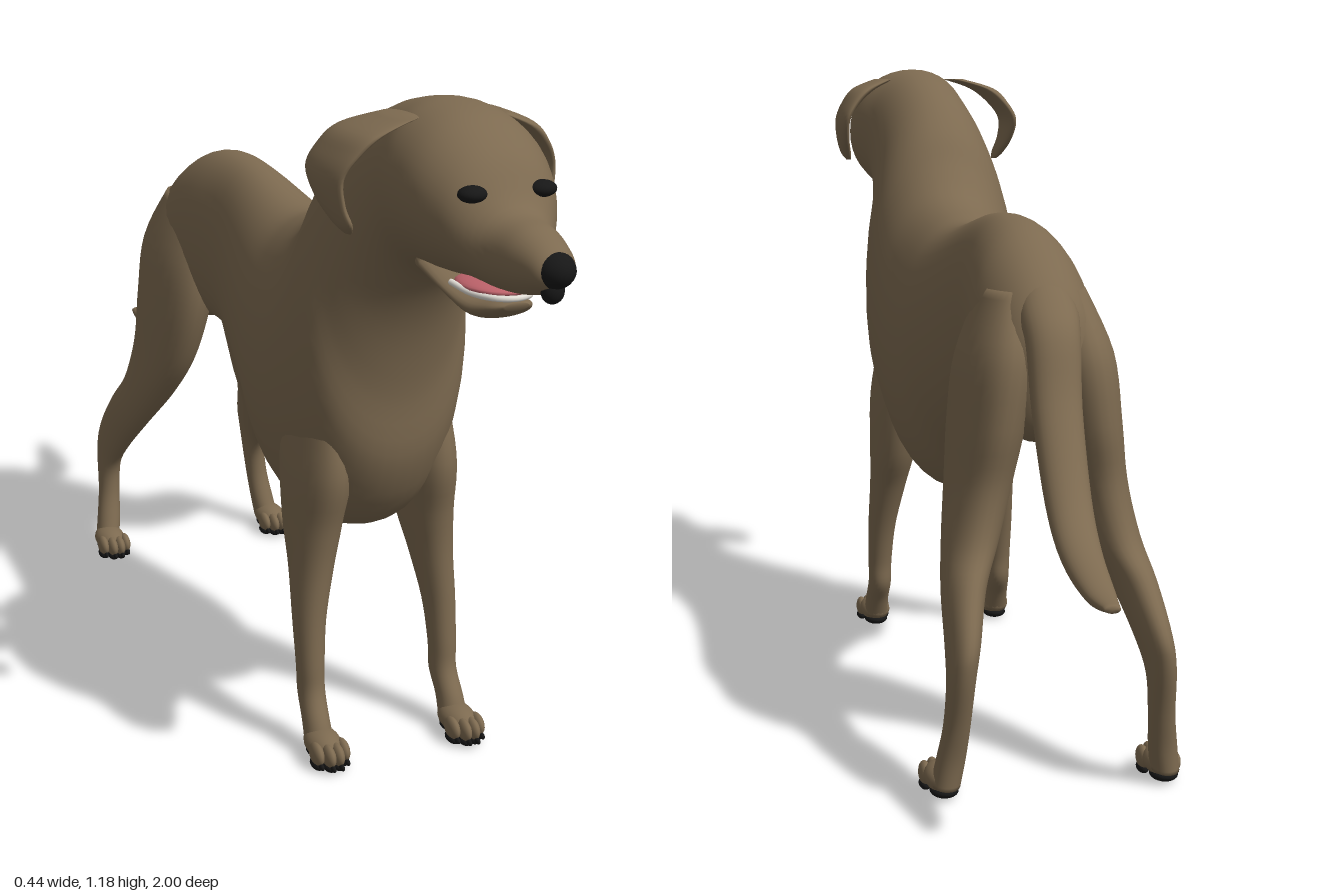
import * as THREE from 'three';

const mat = (name, hex) => {
  const m = new THREE.MeshStandardMaterial({ color: hex });
  m.name = name;
  return m;
};

// Smooth Catmull-Rom resampling of section rows
function resample(rows, steps) {
  const out = [], n = rows.length;
  for (let i = 0; i < n - 1; i++) {
    const [a, b, c, d] = [i - 1, i, i + 1, i + 2].map(k => rows[Math.min(n - 1, Math.max(0, k))]);
    for (let s = 0; s < steps; s++) {
      const t = s / steps;
      out.push(b.map((v, k) => v + 0.5 * t * (c[k] - a[k]
        + t * (2 * a[k] - 5 * v + 4 * c[k] - d[k] + t * (3 * (v - c[k]) + d[k] - a[k])))));
    }
  }
  out.push(rows[n - 1]);
  return out;
}

// Loft through oval sections: [z1, y1, z2, y2, halfWidth, centreX], point 1 and 2 being the ends of the oval
function loft(sections, side = 1, power = 2.1, sides = 28) {
  const rings = resample(sections, 5), pos = [], idx = [];
  const bulge = v => Math.sign(v) * Math.abs(v) ** (2 / power);
  for (const [z1, y1, z2, y2, w, cx] of rings) {
    for (let j = 0; j < sides; j++) {
      const a = j / sides * Math.PI * 2, u = bulge(Math.cos(a)), v = bulge(Math.sin(a));
      pos.push(side * cx + u * w, (y1 + y2) / 2 + v * (y1 - y2) / 2, (z1 + z2) / 2 + v * (z1 - z2) / 2);
    }
  }
  const last = rings.length - 1, cap = pos.length / 3;
  for (const r of [rings[0], rings[last]]) pos.push(side * r[5], (r[1] + r[3]) / 2, (r[0] + r[2]) / 2);
  for (let j = 0; j < sides; j++) {
    const k = (j + 1) % sides;
    for (let i = 0; i < last; i++) {
      const p = i * sides, q = p + sides;
      idx.push(p + j, p + k, q + k, p + j, q + k, q + j);
    }
    idx.push(cap, k, j, cap + 1, last * sides + j, last * sides + k);
  }
  const g = new THREE.BufferGeometry();
  g.setAttribute('position', new THREE.Float32BufferAttribute(pos, 3));
  g.setIndex(idx);
  g.computeVertexNormals();
  return g;
}

export function createModel() {
  const dog = new THREE.Group();
  dog.name = 'dog';
  const coat = mat('brown coat', 0x7d6a50);
  const black = mat('black', 0x171717);
  const pink = mat('pink mouth', 0xc0646c);
  const white = mat('white teeth', 0xe4e0d8);

  const add = (name, geo, material, parent = dog) => {
    const m = new THREE.Mesh(geo, material);
    m.name = name;
    parent.add(m);
    return m;
  };
  const blob = (name, material, p, r, parent = dog) => {
    const m = add(name, new THREE.SphereGeometry(1, 20, 14), material, parent);
    m.position.set(...p);
    m.scale.set(...r);
    return m;
  };

  // Trunk, neck, skull and upper muzzle from rump to nose
  const hx = 0.015;
  add('body', loft([
    [-0.565, 0.74, -0.555, 0.66, 0.03, 0],
    [-0.53, 0.82, -0.52, 0.58, 0.08, 0],
    [-0.42, 0.89, -0.42, 0.56, 0.105, 0],
    [-0.31, 0.925, -0.31, 0.58, 0.10, 0],
    [-0.155, 0.925, -0.17, 0.56, 0.092, 0],
    [0.06, 0.89, 0.02, 0.455, 0.125, 0],
    [0.16, 0.90, 0.12, 0.37, 0.14, 0],
    [0.25, 0.93, 0.26, 0.35, 0.15, 0],
    [0.31, 0.985, 0.42, 0.405, 0.157, 0],
    [0.36, 1.05, 0.495, 0.52, 0.15, 0],
    [0.43, 1.11, 0.51, 0.66, 0.13, 0],
    [0.51, 1.15, 0.545, 0.79, 0.115, 0.005],
    [0.585, 1.17, 0.60, 0.88, 0.112, 0.01],
    [0.65, 1.175, 0.67, 0.91, 0.125, hx],
    [0.73, 1.16, 0.745, 0.92, 0.12, hx],
    [0.80, 1.115, 0.80, 0.925, 0.098, hx],
    [0.855, 1.047, 0.86, 0.922, 0.064, hx],
    [0.92, 1.03, 0.92, 0.93, 0.05, hx],
    [0.97, 1.008, 0.965, 0.945, 0.036, hx],
    [0.985, 0.985, 0.98, 0.955, 0.02, hx],
  ], 1, 2.1, 40), coat);
  blob('sheath', coat, [0, 0.565, -0.155], [0.022, 0.03, 0.06]).rotation.x = -0.25;

  // Tail from tip to root
  add('tail', loft([
    [-1, 0.424, -1, 0.412, 0.012, 0.022],
    [-0.93, 0.437, -0.93, 0.406, 0.024, 0.022],
    [-0.82, 0.477, -0.81, 0.43, 0.033, 0.02],
    [-0.74, 0.54, -0.70, 0.495, 0.037, 0.016],
    [-0.66, 0.66, -0.605, 0.625, 0.041, 0.012],
    [-0.61, 0.77, -0.55, 0.725, 0.045, 0.006],
    [-0.53, 0.825, -0.51, 0.75, 0.048, 0],
    [-0.44, 0.865, -0.44, 0.79, 0.03, 0],
  ]), coat);

  // Lower jaw, tongue and teeth
  const head = new THREE.Group();
  head.name = 'face';
  dog.add(head);
  add('lowerJaw', loft([
    [0.68, 0.955, 0.68, 0.91, 0.08, hx],
    [0.75, 0.92, 0.75, 0.885, 0.066, hx],
    [0.80, 0.904, 0.795, 0.866, 0.052, hx],
    [0.845, 0.906, 0.84, 0.878, 0.038, hx],
    [0.866, 0.904, 0.862, 0.892, 0.02, hx],
  ]), coat, head);
  blob('tongue', pink, [hx, 0.916, 0.785], [0.054, 0.012, 0.072], head);
  const toothRow = new THREE.CatmullRomCurve3([
    [-0.058, 0.917, 0.76], [-0.047, 0.91, 0.81], [-0.028, 0.91, 0.85], [0, 0.91, 0.862],
    [0.028, 0.91, 0.85], [0.047, 0.91, 0.81], [0.058, 0.917, 0.76],
  ].map(([x, y, z]) => new THREE.Vector3(x + hx, y, z)));
  add('lowerTeeth', new THREE.TubeGeometry(toothRow, 36, 0.005, 8), white, head);

  // Nose with the dark groove below it
  blob('nose', black, [hx + 0.002, 0.978, 0.966], [0.031, 0.028, 0.034], head);
  blob('noseGroove', black, [hx, 0.948, 0.967], [0.018, 0.02, 0.016], head);

  for (const s of [-1, 1]) {
    const sideName = s > 0 ? 'left' : 'right';
    blob(sideName + 'Eye', black, [hx + s * 0.058, 1.064, 0.823], [0.023, 0.013, 0.02], head);

    // Hanging ear; the right one flares out further
    const f = s > 0 ? 1 : 1.14;
    add(sideName + 'Ear', loft([
      [0.69, 1.155, 0.59, 1.155, 0.02, 0.075],
      [0.705, 1.135, 0.56, 1.135, 0.022, 0.12 * f],
      [0.70, 1.105, 0.55, 1.105, 0.016, 0.15 * f],
      [0.69, 1.07, 0.55, 1.07, 0.012, 0.168 * f],
      [0.69, 1.03, 0.58, 1.03, 0.011, 0.166 * f],
      [0.692, 1.0, 0.625, 0.997, 0.01, 0.157 * f],
      [0.675, 0.983, 0.65, 0.983, 0.005, 0.15 * f],
    ], s), coat, head);

    // Front leg from shoulder to wrist
    add(sideName + 'FrontLeg', loft([
      [0.45, 0.64, 0.27, 0.64, 0.03, 0.10],
      [0.475, 0.51, 0.27, 0.52, 0.05, 0.10],
      [0.455, 0.41, 0.295, 0.40, 0.045, 0.107],
      [0.445, 0.33, 0.335, 0.32, 0.036, 0.115],
      [0.445, 0.24, 0.37, 0.23, 0.028, 0.125],
      [0.45, 0.16, 0.39, 0.15, 0.024, 0.128],
      [0.455, 0.11, 0.395, 0.10, 0.023, 0.128],
      [0.48, 0.065, 0.42, 0.06, 0.023, 0.13],
      [0.495, 0.03, 0.44, 0.02, 0.025, 0.13],
    ], s), coat);

    // Hind leg from haunch over the hock to the foot
    add(sideName + 'HindLeg', loft([
      [-0.32, 0.82, -0.50, 0.82, 0.035, 0.05],
      [-0.28, 0.70, -0.56, 0.72, 0.063, 0.066],
      [-0.28, 0.60, -0.565, 0.60, 0.06, 0.083],
      [-0.32, 0.49, -0.55, 0.50, 0.053, 0.10],
      [-0.385, 0.40, -0.565, 0.41, 0.045, 0.122],
      [-0.46, 0.32, -0.61, 0.35, 0.035, 0.145],
      [-0.54, 0.245, -0.665, 0.275, 0.027, 0.16],
      [-0.585, 0.19, -0.67, 0.22, 0.023, 0.168],
      [-0.59, 0.13, -0.645, 0.13, 0.022, 0.173],
      [-0.575, 0.07, -0.63, 0.07, 0.024, 0.18],
      [-0.56, 0.03, -0.625, 0.02, 0.024, 0.187],
    ], s), coat);

    // Paws with four toes, claws and black pads
    for (const [label, x, z] of [['Front', 0.13, 0.495], ['Hind', 0.188, -0.56]]) {
      const paw = new THREE.Group();
      paw.name = sideName + label + 'Paw';
      paw.position.set(s * x, 0, z);
      dog.add(paw);
      blob('foot', coat, [0, 0.031, -0.012], [0.031, 0.025, 0.048], paw);
      blob('heelPad', black, [0, 0.012, -0.025], [0.024, 0.012, 0.03], paw);
      for (let i = 0; i < 4; i++) {
        const tx = (i - 1.5) * 0.016, tz = i === 1 || i === 2 ? 0.032 : 0.018;
        blob('toe', coat, [tx, 0.027, tz], [0.0105, 0.02, 0.025], paw);
        blob('toePad', black, [tx, 0.009, tz], [0.01, 0.009, 0.021], paw);
        blob('claw', black, [tx, 0.013, tz + 0.021], [0.004, 0.006, 0.01], paw);
      }
    }
  }
  return dog;
}
